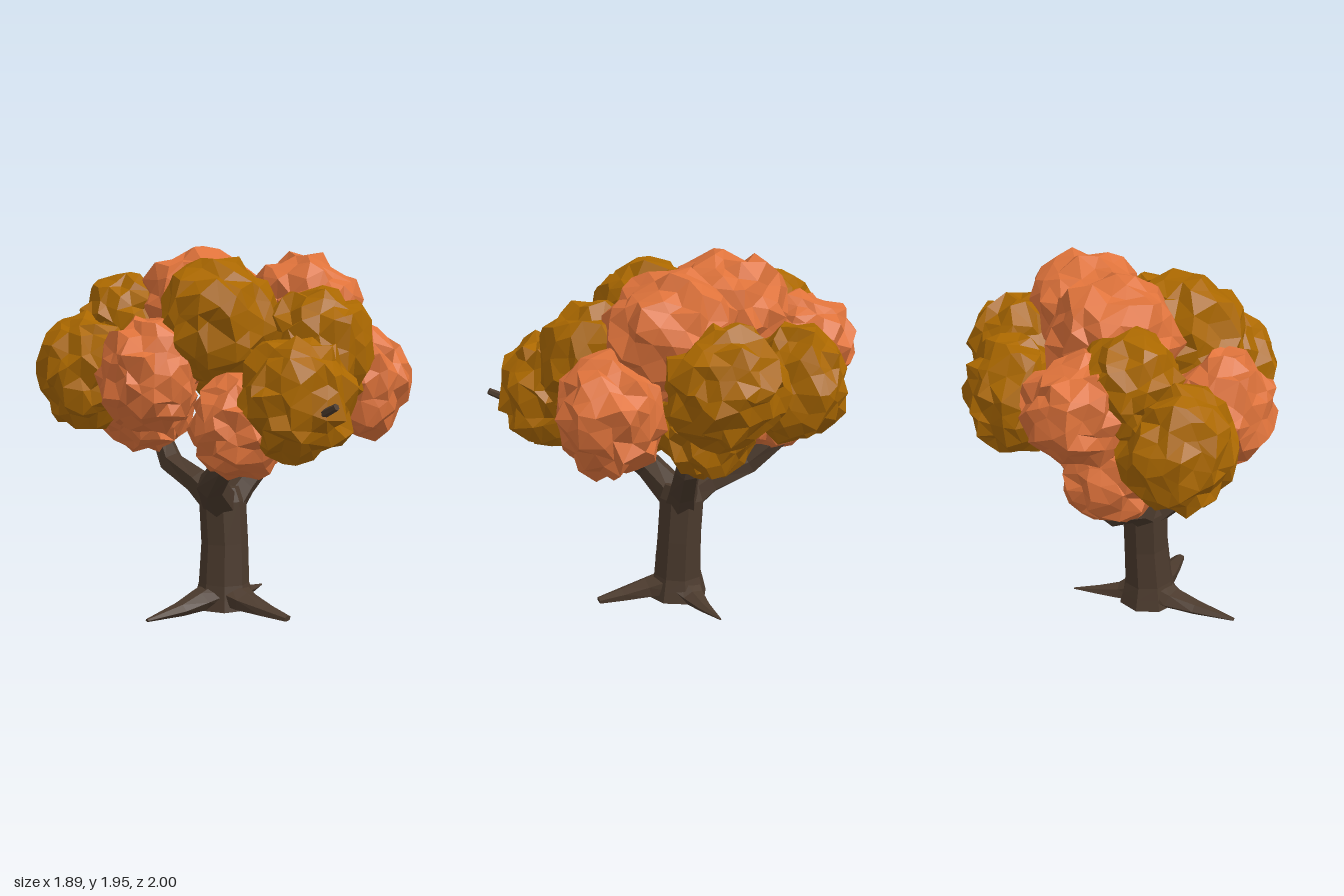
import * as THREE from 'three';
import { mergeVertices } from 'three/addons/utils/BufferGeometryUtils.js';

const mat = (color) => new THREE.MeshStandardMaterial({ color, flatShading: true });

// Small seeded generator for the leaf roughness
function seeded(seed) {
  let s = seed * 7919 + 17;
  return () => {
    s = (s * 1664525 + 1013904223) % 4294967296;
    return s / 4294967296 - 0.5;
  };
}

// Rough faceted ball of leaves
function leafBall(seed, rx, ry, rz) {
  let g = new THREE.IcosahedronGeometry(1, 3);
  g.deleteAttribute('normal');
  g.deleteAttribute('uv');
  g = mergeVertices(g, 1e-3);
  const rand = seeded(seed), p = g.attributes.position, v = new THREE.Vector3();
  for (let i = 0; i < p.count; i++) {
    v.fromBufferAttribute(p, i);
    v.x += rand() * 0.2;
    v.y += rand() * 0.2;
    v.z += rand() * 0.2;
    v.normalize().multiplyScalar(0.99 + rand() * 0.23);
    p.setXYZ(i, v.x * rx, v.y * ry, v.z * rz);
  }
  g = g.toNonIndexed();
  g.computeVertexNormals();
  return g;
}

// Closed faceted limb through rings [x, y, z, radius]; flat squashes it vertically
function limb(rings, sides, flat = 1) {
  const pts = rings.map((r) => new THREE.Vector3(r[0], r[1], r[2]));
  const up = new THREE.Vector3(0, 1, 0), pos = [], idx = [], last = rings.length - 1;
  rings.forEach((ring, i) => {
    const dir = pts[Math.min(i + 1, last)].clone().sub(pts[Math.max(i - 1, 0)]).normalize();
    const q = new THREE.Quaternion().setFromUnitVectors(up, dir);
    for (let j = 0; j < sides; j++) {
      const a = (j / sides) * Math.PI * 2 + 0.3;
      const o = new THREE.Vector3(Math.sin(a), 0, Math.cos(a)).multiplyScalar(ring[3]).applyQuaternion(q);
      pos.push(ring[0] + o.x, Math.max(0, ring[1] + o.y * flat), ring[2] + o.z);
      if (i < last) {
        const k = (j + 1) % sides, b = i * sides, t = b + sides;
        idx.push(b + j, b + k, t + k, b + j, t + k, t + j);
      }
    }
  });
  for (let j = 1; j < sides - 1; j++) {
    const t = last * sides;
    idx.push(0, j + 1, j, t, t + j, t + j + 1);
  }
  let g = new THREE.BufferGeometry();
  g.setAttribute('position', new THREE.Float32BufferAttribute(pos, 3));
  g.setIndex(idx);
  g = g.toNonIndexed();
  g.computeVertexNormals();
  return g;
}

export function createModel() {
  const tree = new THREE.Group();
  tree.name = 'tree';
  const bark = mat(0x4b3a2d), orange = mat(0xdf733b), ochre = mat(0xab6800);
  const add = (name, geometry, material) => {
    const m = new THREE.Mesh(geometry, material);
    m.name = name;
    tree.add(m);
    return m;
  };

  // Trunk
  add('trunk', limb([
    [-0.08, 0, -0.02, 0.17], [-0.08, 0.06, -0.02, 0.155], [-0.08, 0.13, -0.02, 0.138],
    [-0.07, 0.35, -0.03, 0.128], [-0.075, 0.58, -0.045, 0.128], [-0.08, 0.66, -0.045, 0.1],
  ], 8), bark);

  // Roots
  [
    [[-0.1, 0.08, -0.01, 0.12], [-0.24, 0.05, 0.0, 0.085], [-0.38, 0.03, 0.04, 0.055], [-0.6, 0.018, 0.1, 0.012]],
    [[-0.05, 0.07, -0.04, 0.12], [0.05, 0.03, -0.11, 0.07], [0.16, 0.015, -0.17, 0.04], [0.29, 0.008, -0.25, 0.006]],
    [[-0.07, 0.08, 0.0, 0.12], [-0.04, 0.05, 0.15, 0.085], [0.01, 0.03, 0.29, 0.055], [0.06, 0.015, 0.42, 0.028]],
  ].forEach((r) => add('root', limb(r, 6, 0.65), bark));

  // Branches
  [
    ['sideBranch', [[-0.06, 0.54, -0.04, 0.1], [0.05, 0.66, -0.05, 0.08], [0.24, 0.84, -0.07, 0.07], [0.32, 1.05, -0.1, 0.05]]],
    ['backBranch', [[-0.09, 0.57, -0.06, 0.1], [-0.14, 0.66, -0.2, 0.08], [-0.2, 0.74, -0.42, 0.07], [-0.19, 0.9, -0.6, 0.055], [-0.17, 1.1, -0.66, 0.035]]],
    ['frontBranch', [[-0.1, 0.57, -0.02, 0.1], [-0.24, 0.71, 0.14, 0.08], [-0.25, 0.83, 0.3, 0.065], [-0.13, 1.02, 0.65, 0.035], [-0.03, 1.2, 0.995, 0.018]]],
  ].forEach(([name, r]) => add(name, limb(r, 6), bark));

  // Foliage clumps: x, y, z, then radii along x, y, z
  const clumps = {
    orangeFoliage: [orange, [
      [-0.26, 1.43, -0.71, 0.275, 0.27, 0.275], [-0.07, 1.61, -0.27, 0.35, 0.34, 0.34],
      [0.4, 1.59, 0.02, 0.31, 0.32, 0.33], [-0.54, 1.29, 0.02, 0.26, 0.29, 0.27],
      [0.57, 1.23, 0.31, 0.265, 0.31, 0.275], [-0.22, 1.05, 0.42, 0.25, 0.26, 0.25],
      [-0.3, 1.07, -0.53, 0.27, 0.26, 0.25],
    ]],
    ochreFoliage: [ochre, [
      [0.29, 1.32, -0.62, 0.265, 0.31, 0.265], [0.65, 1.39, -0.24, 0.275, 0.3, 0.3],
      [-0.67, 1.27, -0.48, 0.27, 0.31, 0.28], [-0.42, 1.53, -0.53, 0.255, 0.27, 0.255],
      [-0.19, 1.55, 0.13, 0.32, 0.33, 0.31], [0.24, 1.43, 0.41, 0.28, 0.31, 0.285],
      [-0.04, 1.21, 0.66, 0.29, 0.31, 0.285], [0.31, 1.11, -0.15, 0.28, 0.28, 0.26],
      [0.16, 1.11, 0.2, 0.23, 0.23, 0.23],
    ]],
  };
  let seed = 1;
  for (const [name, [material, list]] of Object.entries(clumps)) {
    for (const [x, y, z, rx, ry, rz] of list) {
      add(name, leafBall(seed++, rx, ry, rz), material).position.set(x, y, z);
    }
  }
  return tree;
}
